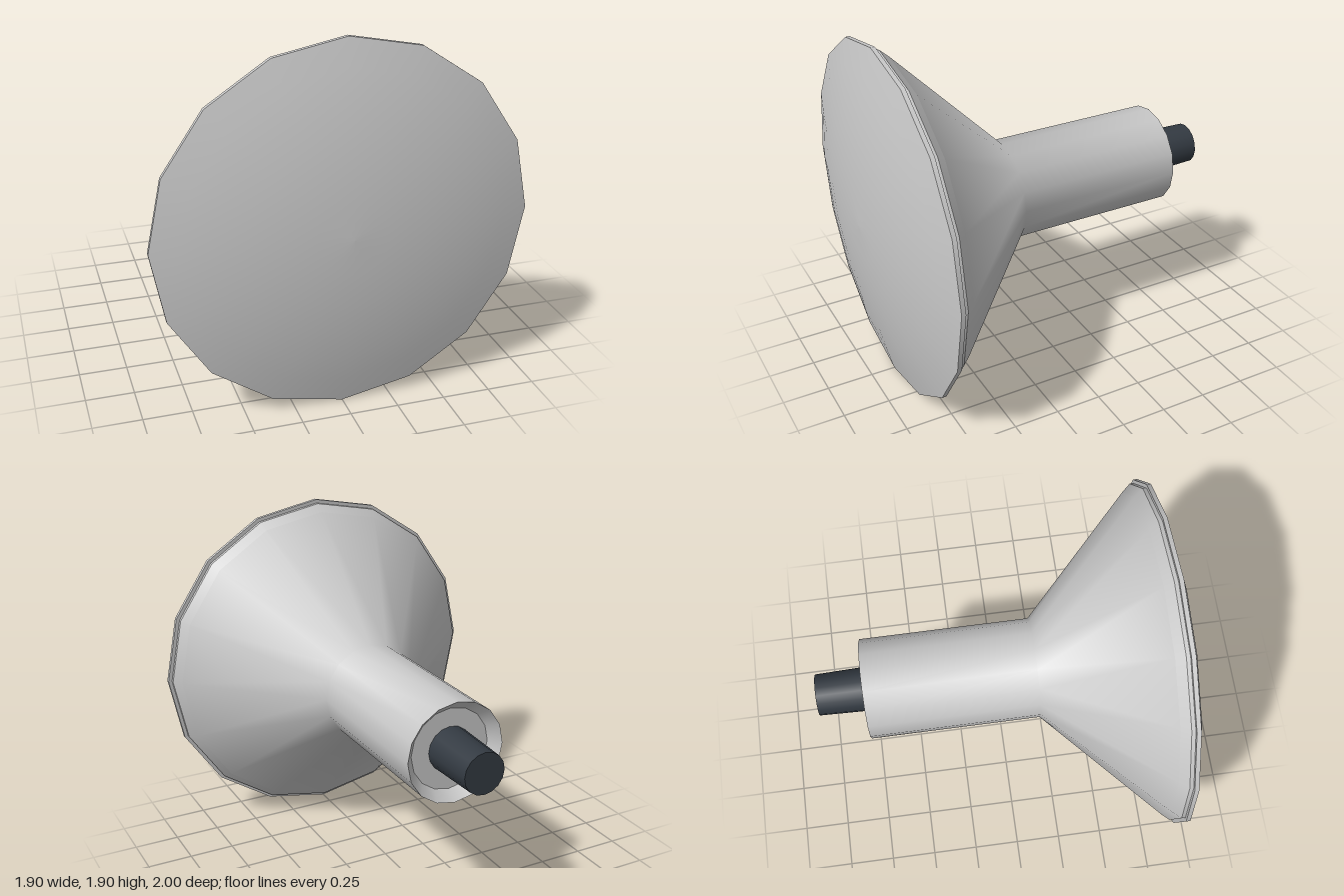
import * as THREE from 'three';

const SIDES = 16;
const CENTRE_Y = 0.95;

export function createModel() {
  const group = new THREE.Group();
  const shellGrey = new THREE.MeshStandardMaterial({ color: 0xc8c8c8 });
  shellGrey.name = 'shellGrey';
  const darkSlate = new THREE.MeshStandardMaterial({ color: 0x333a42 });
  darkSlate.name = 'darkSlate';

  // Turned part along z: profile of [radius, z] from back to front
  function turned(name, profile, material) {
    const points = profile.map(([r, z]) => new THREE.Vector2(r, z));
    const geometry = new THREE.LatheGeometry(points, SIDES);
    geometry.rotateX(Math.PI / 2);
    const mesh = new THREE.Mesh(geometry, material);
    mesh.name = name;
    mesh.position.y = CENTRE_Y;
    group.add(mesh);
  }

  // Tapered recess at the back end of the neck
  turned('recessFloor', [[0, -0.68], [0.22, -0.68]], shellGrey);
  turned('recessWall', [[0.22, -0.68], [0.272, -0.74]], shellGrey);

  // Neck flowing into the flared cone
  turned('neckAndFlare', [[0.272, -0.74], [0.272, 0.18], [0.89, 0.78]], shellGrey);
  turned('flareBand', [[0.89, 0.78], [0.93, 0.825]], shellGrey);

  // Stepped rim
  turned('rimGroove', [[0.93, 0.825], [0.93, 0.845]], shellGrey);
  turned('rimStep', [[0.93, 0.845], [0.95, 0.845]], shellGrey);
  turned('rimEdge', [[0.95, 0.845], [0.95, 0.868]], shellGrey);

  // Shallow domed face
  const dome = [];
  for (const r of [0.95, 0.81, 0.67, 0.52, 0.36, 0.18, 0]) {
    dome.push([r, 1 - 0.132 * (r / 0.95) ** 2]);
  }
  turned('domedFace', dome, shellGrey);

  // Slightly tapered stem
  const stem = new THREE.Mesh(
    new THREE.CylinderGeometry(0.122, 0.112, 0.34, SIDES).rotateX(Math.PI / 2),
    darkSlate
  );
  stem.name = 'stem';
  stem.position.set(0, CENTRE_Y, -0.83);
  group.add(stem);

  return group;
}
